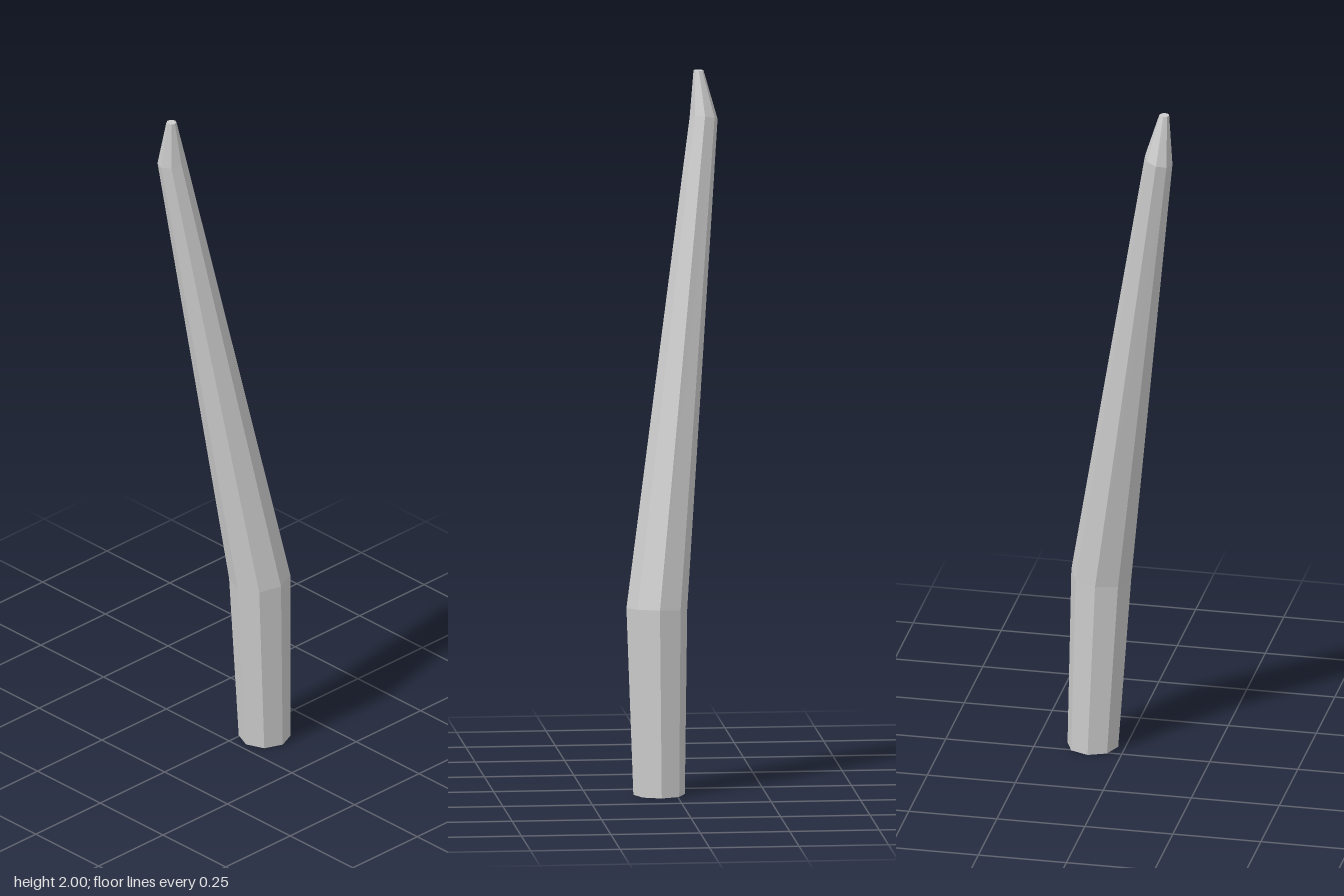
import * as THREE from 'three';

// Cross-sections from foot to tip: centre, radius and tilt (rise in y per unit of x and z)
const RINGS = [
  { x: 0.092, y: 0, z: 0.047, r: 0.072, tx: 0, tz: 0 },
  { x: 0.069, y: 0.52, z: 0.051, r: 0.085, tx: 0.09, tz: 0.03 },
  { x: -0.126, y: 1.868, z: -0.1, r: 0.039, tx: 0.25, tz: 0.1 },
  { x: -0.139, y: 2, z: -0.087, r: 0.014, tx: 0, tz: 0 },
];

export function createModel() {
  const group = new THREE.Group();
  group.name = 'bentSpike';

  // Eight-sided capped column, each row of vertices moved onto its ring
  const geometry = new THREE.CylinderGeometry(1, 1, 3, 8, 3);
  const pos = geometry.attributes.position;
  for (let i = 0; i < pos.count; i++) {
    const ring = RINGS[Math.round(pos.getY(i) + 1.5)];
    const dx = pos.getX(i) * ring.r;
    const dz = pos.getZ(i) * ring.r;
    pos.setXYZ(i, ring.x + dx, ring.y + ring.tx * dx + ring.tz * dz, ring.z + dz);
  }
  geometry.computeVertexNormals();

  const material = new THREE.MeshStandardMaterial({ color: 0xcccccc, flatShading: true });
  const shaft = new THREE.Mesh(geometry, material);
  shaft.name = 'shaft';
  group.add(shaft);
  return group;
}
